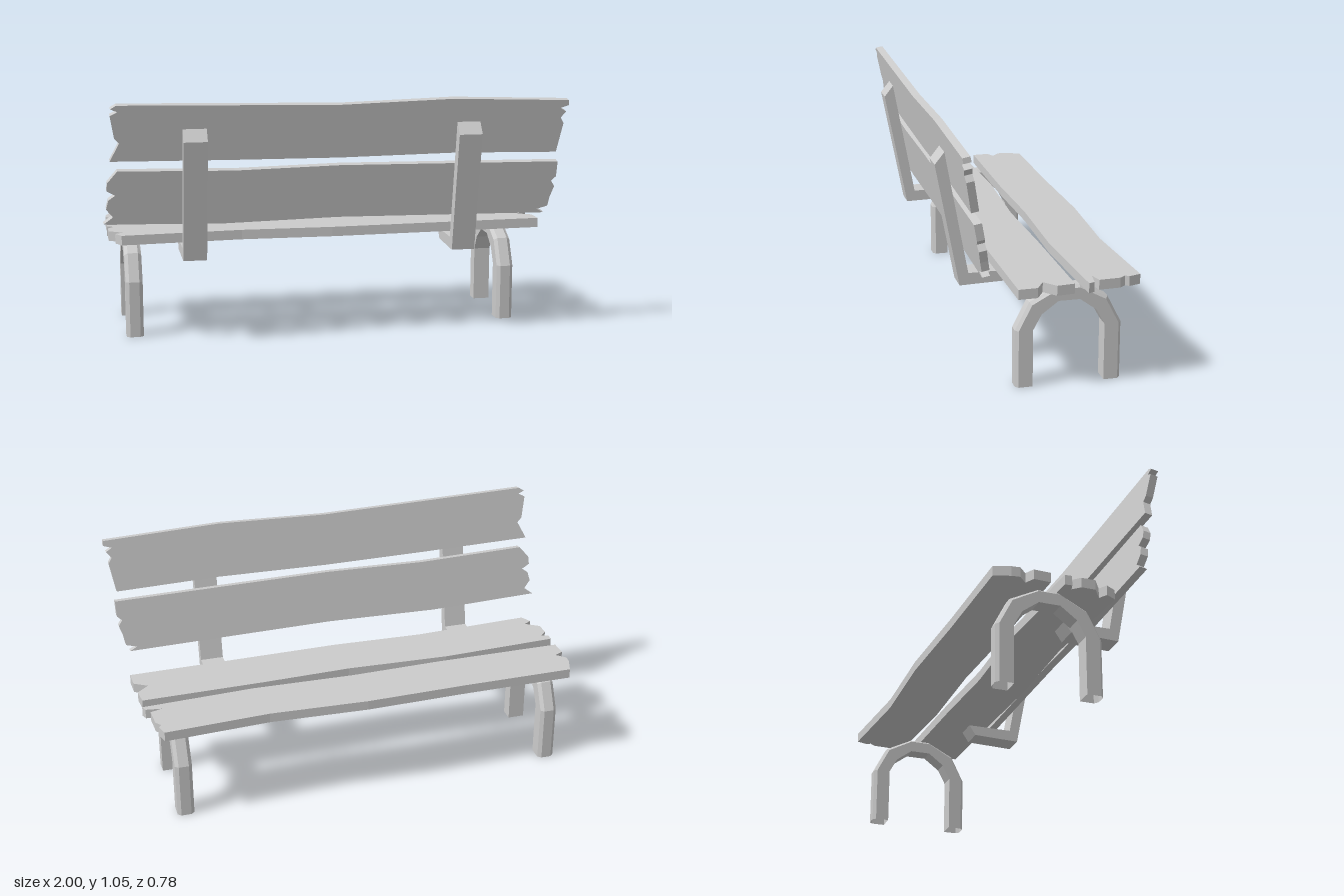
import * as THREE from 'three';

const material = new THREE.MeshStandardMaterial({ color: 0xcccccc, flatShading: true });
const openMaterial = new THREE.MeshStandardMaterial({ color: 0xcccccc, flatShading: true, side: THREE.DoubleSide });

// Extrude an outline of [u, v] pairs along +z
function slab(name, points, depth) {
  const shape = new THREE.Shape(points.map(([u, v]) => new THREE.Vector2(u, v)));
  const mesh = new THREE.Mesh(new THREE.ExtrudeGeometry(shape, { depth, bevelEnabled: false }), material);
  mesh.name = name;
  return mesh;
}

// Seat plank outline is given as [x, z]
function seatPlank(name, outline) {
  const mesh = slab(name, outline.map(([x, z]) => [x, -z]), 0.042);
  mesh.rotation.x = -Math.PI / 2;
  mesh.position.y = 0.423;
  return mesh;
}

// Back plank outline is given as upright [x, y], laid on the leaning plane
const LEAN = THREE.MathUtils.degToRad(10.2);
function backPlank(name, outline) {
  const mesh = slab(name, outline.map(([x, y]) => [x, (y - 0.775) / Math.cos(LEAN)]), 0.032);
  mesh.rotation.x = LEAN;
  mesh.position.set(0, 0.775, 0.283);
  return mesh;
}

// Angled bracket carrying the back planks, profile in [z, y]
function bracket(name, x) {
  const profile = [[0.05, 0.423], [0.08, 0.378], [0.29, 0.372], [0.388, 0.893], [0.348, 0.943], [0.253, 0.423]];
  const mesh = slab(name, profile.map(([z, y]) => [-z, y]), 0.101);
  mesh.rotation.y = Math.PI / 2;
  mesh.position.x = x - 0.0505;
  return mesh;
}

// Arched leg: six-sided section swept along the arch, open at the feet
function archLeg(name, x) {
  const mid = -0.109;
  const outer = [[0.222, 0], [0.222, 0.245], [0.163, 0.362], [0.045, 0.422]];
  const inner = [[0.15, 0], [0.15, 0.245], [0.115, 0.31], [0.045, 0.362]];
  const both = (side) => [...side, ...side.slice().reverse().map(([z, y]) => [-z, y])];
  const out = both(outer), inn = both(inner);
  const section = [[0, -0.037], [0.82, -0.037], [1, -0.022], [1, 0.022], [0.82, 0.037], [0, 0.037]];
  const positions = [], indices = [], n = section.length;
  out.forEach((o, i) => section.forEach(([t, w]) => positions.push(
    x + w,
    THREE.MathUtils.lerp(inn[i][1], o[1], t),
    mid + THREE.MathUtils.lerp(inn[i][0], o[0], t))));
  for (let i = 0; i < out.length - 1; i++) {
    for (let j = 0; j < n; j++) {
      const a = i * n + j, b = i * n + (j + 1) % n;
      indices.push(a, a + n, b, b, a + n, b + n);
    }
  }
  const geometry = new THREE.BufferGeometry();
  geometry.setAttribute('position', new THREE.Float32BufferAttribute(positions, 3));
  geometry.setIndex(indices);
  geometry.computeVertexNormals();
  const mesh = new THREE.Mesh(geometry, openMaterial);
  mesh.name = name;
  return mesh;
}

export function createModel() {
  const bench = new THREE.Group();
  bench.name = 'bench';

  // Seat planks with wavy edges and splintered ends
  bench.add(seatPlank('seatPlankOuter', [
    [-0.94, -0.36], [-0.45, -0.365], [0, -0.378], [0.43, -0.362], [0.885, -0.39],
    [0.9, -0.34], [0.888, -0.325], [0.908, -0.3], [0.912, -0.21], [0.86, -0.195], [0.93, -0.185], [0.94, -0.16],
    [0.45, -0.134], [0, -0.143], [-0.4, -0.13], [-0.967, -0.128],
    [-0.97, -0.2], [-0.93, -0.22], [-0.968, -0.255], [-0.965, -0.29]]));
  bench.add(seatPlank('seatPlankInner', [
    [-0.97, -0.07], [-0.45, -0.095], [0, -0.08], [0.4, -0.095], [0.93, -0.105],
    [0.937, -0.03], [0.885, 0.015], [0.943, 0.05], [0.945, 0.13],
    [0.45, 0.14], [0, 0.15], [-0.4, 0.138], [-0.92, 0.165],
    [-0.945, 0.12], [-0.91, 0.1], [-0.97, 0.06], [-0.97, 0.0], [-0.94, -0.03], [-0.972, -0.04]]));

  // Leaning back planks
  bench.add(backPlank('upperBackPlank', [
    [-0.94, 1.055], [-0.45, 1.045], [0, 1.036], [0.48, 1.05], [0.993, 1.032],
    [0.995, 1.01], [0.958, 0.998], [0.985, 0.982], [0.963, 0.955], [0.978, 0.93], [0.955, 0.802],
    [0.5, 0.812], [0, 0.806], [-0.45, 0.81], [-0.97, 0.818],
    [-0.93, 0.895], [-0.95, 0.915], [-0.967, 1.012], [-0.935, 1.028], [-0.965, 1.04]]));
  bench.add(backPlank('lowerBackPlank', [
    [-0.94, 0.775], [-0.45, 0.763], [0, 0.772], [0.5, 0.765], [0.968, 0.758],
    [0.966, 0.69], [0.945, 0.67], [0.962, 0.645], [0.945, 0.595], [0.938, 0.555], [0.89, 0.542], [0.922, 0.525],
    [0.45, 0.533], [0, 0.54], [-0.5, 0.53], [-1, 0.545],
    [-0.96, 0.575], [-0.988, 0.61], [-0.978, 0.65], [-0.95, 0.67], [-0.985, 0.69], [-0.982, 0.725]]));

  // Brackets and arched legs
  bench.add(bracket('rightBracket', -0.62), bracket('leftBracket', 0.553));
  bench.add(archLeg('rightLeg', -0.868), archLeg('leftLeg', 0.804));
  return bench;
}
